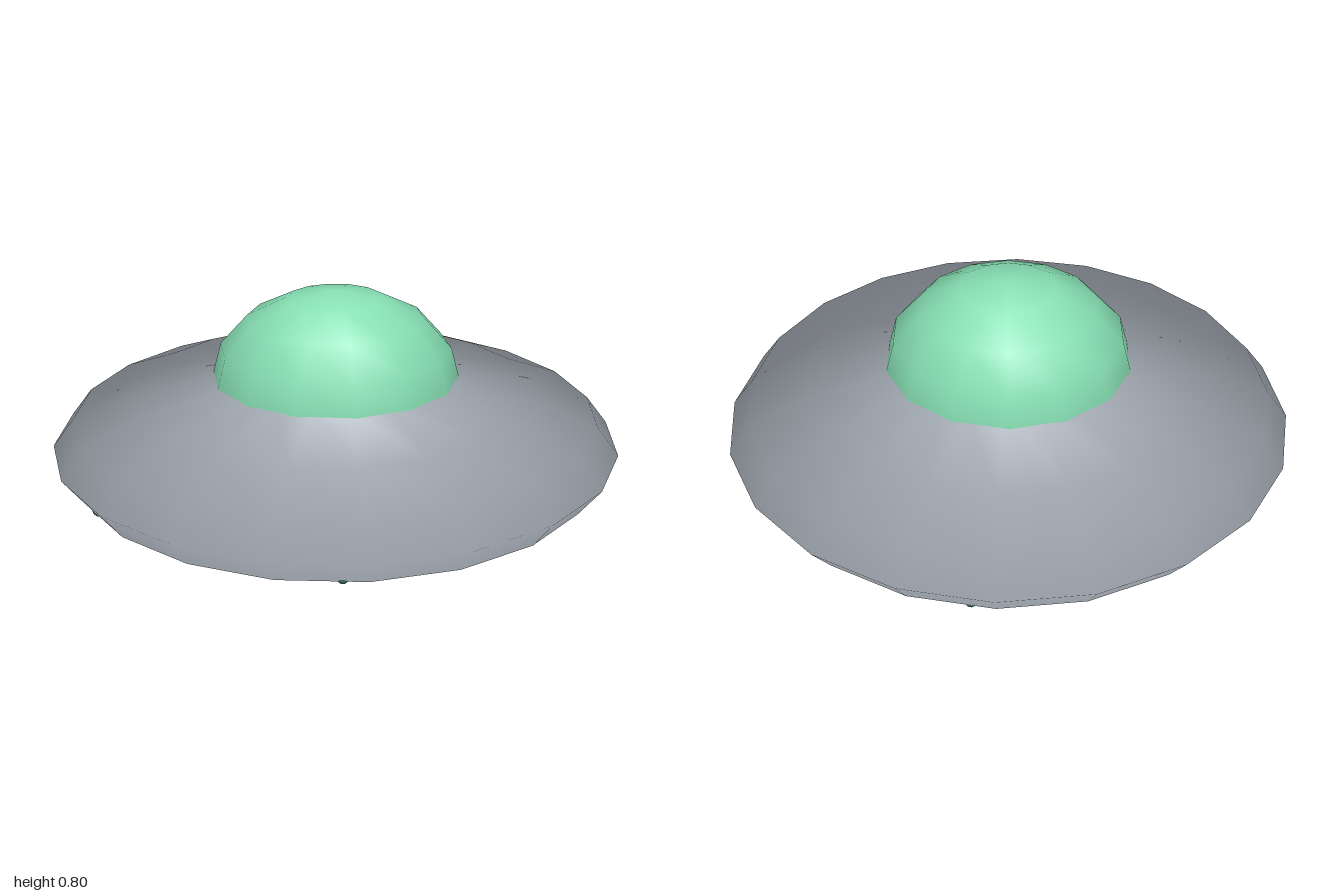
import * as THREE from 'three';

const hullGrey = new THREE.MeshStandardMaterial({ color: 0xa6adb6 });
hullGrey.name = 'hull grey';
const domeGreen = new THREE.MeshStandardMaterial({ color: 0x87e0b4 });
domeGreen.name = 'dome green';
const lampTeal = new THREE.MeshStandardMaterial({ color: 0x3a6f6a });
lampTeal.name = 'lamp teal';

// Squashed low-poly sphere whose smooth normals radiate from its centre
function squashedSphere(radius, height, segments, rings, sweep = Math.PI) {
  const geometry = new THREE.SphereGeometry(1, segments, rings, 0, Math.PI * 2, 0, sweep);
  geometry.scale(radius, height, radius);
  const { position, normal } = geometry.attributes;
  const n = new THREE.Vector3();
  for (let i = 0; i < position.count; i++) {
    n.fromBufferAttribute(position, i).normalize();
    normal.setXYZ(i, n.x, n.y, n.z);
  }
  return geometry;
}

function addPart(group, name, geometry, material, x, y, z) {
  const mesh = new THREE.Mesh(geometry, material);
  mesh.name = name;
  mesh.position.set(x, y, z);
  group.add(mesh);
  return mesh;
}

export function createModel() {
  const model = new THREE.Group();
  model.name = 'flyingSaucer';

  // Lens-shaped hull
  addPart(model, 'hull', squashedSphere(1, 0.26, 20, 8), hullGrey, 0, 0.264, 0);

  // Cockpit dome, its open rim sunk into the hull
  addPart(model, 'dome', squashedSphere(0.44, 0.325, 14, 4, Math.PI / 2), domeGreen, 0, 0.475, 0);

  // Four small lamps set under the rim
  const lamp = new THREE.SphereGeometry(0.02, 8, 6);
  for (const x of [-0.465, 0.465]) {
    for (const z of [-0.775, 0.775]) {
      addPart(model, 'rimLamp', lamp, lampTeal, x, 0.172, z);
    }
  }
  return model;
}
